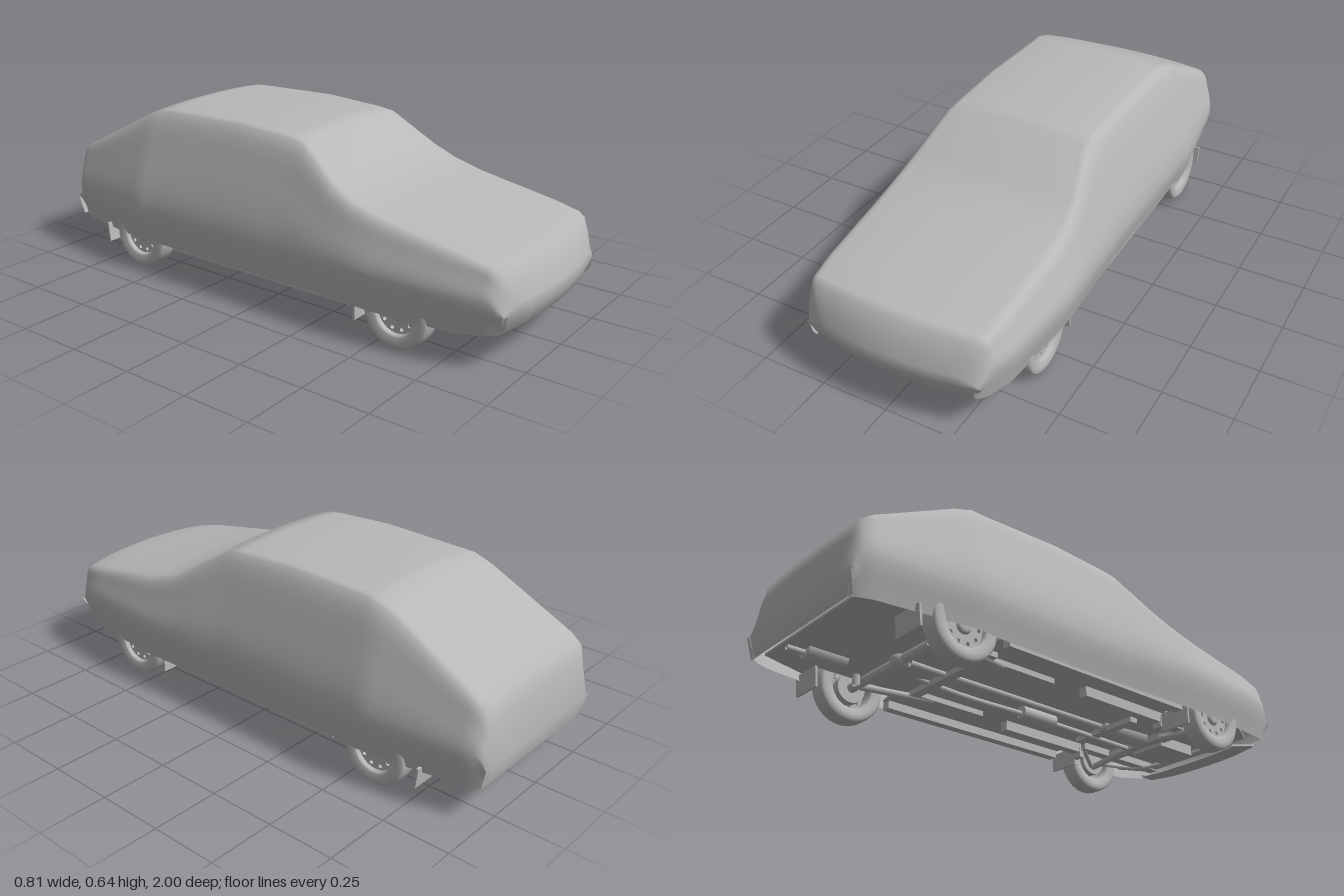
import * as THREE from 'three';

const grey = new THREE.MeshStandardMaterial({ color: 0xb8b8b8, side: THREE.DoubleSide });
grey.name = 'plainGrey';

function add(parent, name, geometry, x = 0, y = 0, z = 0) {
  const mesh = new THREE.Mesh(geometry, grey);
  mesh.name = name;
  mesh.position.set(x, y, z);
  parent.add(mesh);
  return mesh;
}
const box = (w, h, d) => new THREE.BoxGeometry(w, h, d);

// Tube through a short list of points
function pipe(parent, name, points, radius) {
  const path = new THREE.CatmullRomCurve3(points.map(p => new THREE.Vector3(...p)));
  return add(parent, name, new THREE.TubeGeometry(path, 24, radius, 10));
}

// Cover stations, front to back: z, top height, half-width of top edge, widest half-width, hem height
const stations = [
  [0.82, 0.088, 0.16, 0.25, 0.105],
  [0.93, 0.1, 0.18, 0.28, 0.12],
  [0.965, 0.135, 0.21, 0.3, 0.14],
  [1, 0.2, 0.24, 0.315, 0.2],
  [0.995, 0.24, 0.26, 0.325, 0.165],
  [0.975, 0.3, 0.295, 0.336, 0.14],
  [0.948, 0.355, 0.318, 0.348, 0.13],
  [0.92, 0.37, 0.326, 0.356, 0.125],
  [0.8, 0.39, 0.333, 0.38],
  [0.5, 0.44, 0.34, 0.405],
  [0.38, 0.474, 0.336, 0.403],
  [0.3, 0.513, 0.324, 0.4],
  [0.14, 0.622, 0.283, 0.395],
  [0.08, 0.632, 0.278, 0.393],
  [-0.15, 0.645, 0.277, 0.393],
  [-0.49, 0.636, 0.275, 0.395],
  [-0.53, 0.63, 0.285, 0.404],
  [-0.6, 0.607, 0.284, 0.399],
  [-0.92, 0.44, 0.3, 0.352],
  [-0.96, 0.412, 0.295, 0.335],
  [-0.98, 0.345, 0.28, 0.318],
  [-1, 0.2, 0.24, 0.302, 0.2],
  [-0.98, 0.12, 0.22, 0.292, 0.12],
];

// Cross-section from one hem over the top to the other hem
function sectionCurve(top, edgeX, wideX, hem) {
  const { lerp } = THREE.MathUtils;
  const height = top - hem;
  const drop = Math.min(0.022, 0.09 * height);
  const edgeY = top - drop, wideY = Math.min(0.25, hem + height / 2);
  const half = [
    [wideX - Math.min(0.028, 0.2 * Math.abs(height)), hem],
    [wideX, wideY],
    [lerp(wideX, edgeX, 0.45), lerp(wideY, edgeY, 0.58)],
    [edgeX, edgeY],
    [edgeX * 0.84, top - drop * 0.5],
  ];
  const ring = [...half, [0, top], ...half.map(([x, y]) => [-x, y]).reverse()];
  return new THREE.CatmullRomCurve3(ring.map(([x, y]) => new THREE.Vector3(x, y, 0)));
}

// Smooth draped shell lofted through the stations, with a nose bowed in plan
function coverGeometry() {
  const steps = 50, position = [], index = [];
  stations.forEach(([z, top, edgeX, wideX, hem = 0.115], i) => {
    const curve = sectionCurve(top, edgeX, wideX, hem);
    for (let j = 0; j <= steps; j++) {
      const p = curve.getPoint(j / steps);
      const bow = 0.04 * (p.x / 0.3) ** 2 * THREE.MathUtils.clamp((z - 0.8) / 0.2, 0, 1);
      position.push(p.x, p.y, z - bow);
      if (i && j) {
        const b = i * (steps + 1) + j, a = b - steps - 1;
        index.push(a - 1, b - 1, a, a, b - 1, b);
      }
    }
  });
  const g = new THREE.BufferGeometry();
  g.setAttribute('position', new THREE.Float32BufferAttribute(position, 3));
  g.setIndex(index);
  g.computeVertexNormals();
  return g;
}

// Floor pan outline with notches for the four wheels
function floorGeometry() {
  const side = [[0.28, -0.95], [0.33, -0.78], [0.25, -0.76], [0.25, -0.45], [0.36, -0.43],
    [0.36, 0.4], [0.25, 0.42], [0.25, 0.74], [0.33, 0.76], [0.27, 0.87]];
  const outline = [...side, ...side.map(([x, z]) => [-x, z]).reverse()];
  const shape = new THREE.Shape(outline.map(([x, z]) => new THREE.Vector2(x, z)));
  return new THREE.ExtrudeGeometry(shape, { depth: 0.008, bevelEnabled: false }).rotateX(Math.PI / 2);
}

function makeWheel() {
  const wheel = new THREE.Group();
  const lathe = pts => new THREE.LatheGeometry(pts.map(p => new THREE.Vector2(...p)), 36).rotateZ(-Math.PI / 2);
  const tyreHalf = [[0.125, 0.015], [0.123, 0.03], [0.116, 0.037], [0.1, 0.039], [0.082, 0.033]];
  add(wheel, 'tyre', lathe([...tyreHalf.map(([r, x]) => [r, -x]).reverse(), ...tyreHalf]));
  add(wheel, 'rim', lathe([[0.082, -0.033], [0.075, -0.03], [0.073, 0.012], [0.077, 0.03], [0.082, 0.033]]));
  // Pierced wheel disc
  const disc = new THREE.Shape().absarc(0, 0, 0.075, 0, Math.PI * 2);
  for (let i = 0; i < 10; i++) {
    const a = i * Math.PI / 5;
    disc.holes.push(new THREE.Path().absarc(0.06 * Math.cos(a), 0.06 * Math.sin(a), 0.007, 0, Math.PI * 2, true));
  }
  add(wheel, 'wheelDisc', new THREE.ExtrudeGeometry(disc, { depth: 0.006, bevelEnabled: false, curveSegments: 16 })
    .rotateY(Math.PI / 2), 0.012);
  add(wheel, 'hub', lathe([[0, 0.03], [0.02, 0.03], [0.025, 0.024], [0.032, 0.015]]));
  add(wheel, 'brakeDrum', new THREE.CylinderGeometry(0.055, 0.055, 0.035, 24).rotateZ(Math.PI / 2), -0.012);
  return wheel;
}

export function createModel() {
  const model = new THREE.Group();
  model.name = 'coveredCar';
  add(model, 'carCover', coverGeometry());
  add(model, 'floorPan', floorGeometry(), 0, 0.145, 0);

  const under = new THREE.Group();
  under.name = 'underbody';
  model.add(under);

  for (const s of [1, -1]) {
    for (const [name, z] of [['frontWheel', 0.58], ['rearWheel', -0.6]]) {
      const wheel = makeWheel();
      wheel.name = name;
      wheel.position.set(s * 0.33, 0.125, z);
      wheel.rotation.y = s > 0 ? 0 : Math.PI;
      model.add(wheel);
    }
    // Mud flaps behind the wheels
    add(under, 'frontMudFlap', box(0.13, 0.07, 0.008), s * 0.303, 0.095, 0.42);
    add(under, 'rearMudFlap', box(0.13, 0.075, 0.008), s * 0.303, 0.1, -0.775).rotation.x = -0.12;
    // Sills, floor rails and front chassis legs
    add(under, 'sill', box(0.035, 0.03, 0.82), s * 0.345, 0.12, -0.015);
    add(under, 'floorRail', box(0.035, 0.04, 0.4), s * 0.22, 0.12, 0.23);
    add(under, 'rearFloorRail', box(0.03, 0.02, 0.3), s * 0.2, 0.125, -0.25);
    add(under, 'chassisLeg', box(0.04, 0.03, 0.42), s * 0.2, 0.125, 0.63);
    add(under, 'jackingBracket', box(0.04, 0.04, 0.02), s * 0.22, 0.1, 0.42);
    // Suspension
    pipe(under, 'frontArm', [[s * 0.1, 0.11, 0.56], [s * 0.3, 0.1, 0.58]], 0.013);
    pipe(under, 'frontStrut', [[s * 0.19, 0.115, 0.42], [s * 0.3, 0.1, 0.57]], 0.009);
    pipe(under, 'trailingArm', [[s * 0.2, 0.12, -0.32], [s * 0.25, 0.115, -0.6]], 0.013);
    pipe(under, 'rearDamper', [[s * 0.22, 0.1, -0.63], [s * 0.21, 0.25, -0.65]], 0.014);
  }

  // Axles and driveline
  add(under, 'rearAxle', new THREE.CylinderGeometry(0.018, 0.018, 0.6, 16).rotateZ(Math.PI / 2), 0, 0.125, -0.6);
  add(under, 'differential', new THREE.SphereGeometry(0.035, 20, 12), 0, 0.13, -0.6);
  add(under, 'frontCrossMember', box(0.42, 0.025, 0.05), 0, 0.12, 0.58);
  add(under, 'rearCrossMember', box(0.5, 0.02, 0.035), 0, 0.125, -0.4);
  add(under, 'middleCrossMember', box(0.3, 0.02, 0.035), 0, 0.12, 0.36);
  add(under, 'radiatorSupport', box(0.44, 0.02, 0.03), 0, 0.125, 0.82);
  add(under, 'oilPan', box(0.15, 0.04, 0.18), 0, 0.115, 0.68);
  add(under, 'gearbox', new THREE.CylinderGeometry(0.045, 0.03, 0.22, 16).rotateX(Math.PI / 2), 0, 0.14, 0.44);
  pipe(under, 'propShaft', [[0, 0.13, 0.34], [0, 0.13, -0.56]], 0.012);
  pipe(under, 'antiRollBar', [[-0.28, 0.11, 0.58], [-0.2, 0.11, 0.76], [0, 0.11, 0.79], [0.2, 0.11, 0.76],
    [0.28, 0.11, 0.58]], 0.008);

  // Exhaust
  pipe(under, 'exhaustPipe', [[0.08, 0.115, 0.62], [0.06, 0.11, 0.05], [0.07, 0.11, -0.3],
    [0.15, 0.17, -0.62], [0.15, 0.13, -0.78], [0.15, 0.125, -0.94]], 0.01);
  const silencer = (r, l) => new THREE.CylinderGeometry(r, r, l, 18).rotateX(Math.PI / 2);
  add(under, 'middleSilencer', silencer(0.026, 0.16), 0.06, 0.115, 0.06);
  add(under, 'rearSilencer', silencer(0.035, 0.15), 0.15, 0.14, -0.8);
  return model;
}
